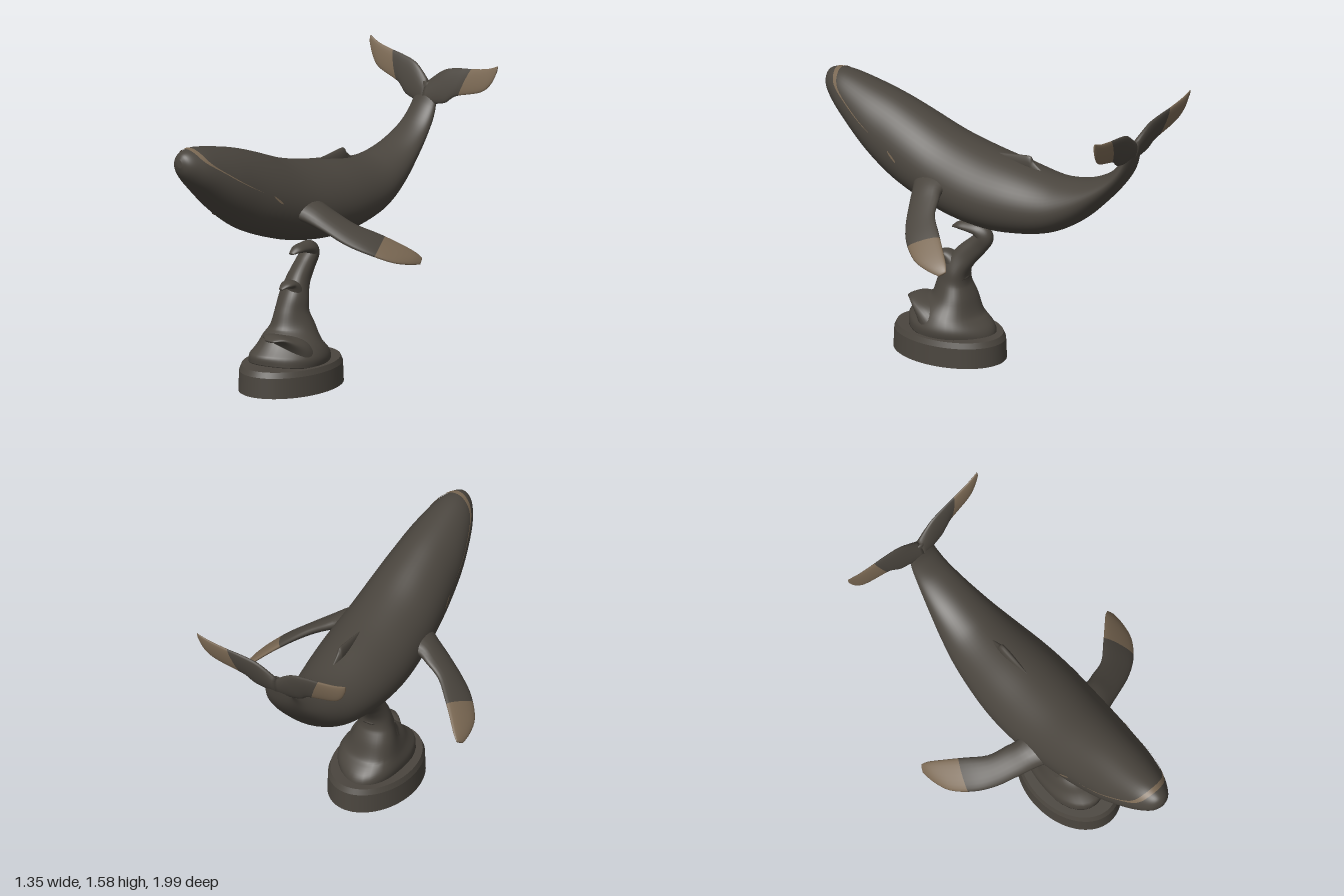
import * as THREE from 'three';

const V = (x, y, z) => new THREE.Vector3(x, y, z);
const dark = new THREE.MeshStandardMaterial({ color: 0x4a453e });
dark.name = 'dark bronze';
const tan = new THREE.MeshStandardMaterial({ color: 0x7a6853, side: THREE.DoubleSide });
tan.name = 'tan marking';

// Smooth interpolation through rows of numbers, t in 0..1
function spline(rows, t) {
  const p = t * (rows.length - 1);
  const i = Math.min(Math.floor(p), rows.length - 2), f = p - i;
  const at = k => rows[Math.max(0, Math.min(rows.length - 1, k))];
  const [a, b, c, d] = [at(i - 1), at(i), at(i + 1), at(i + 2)];
  return b.map((q, k) => q + 0.5 * f * (c[k] - a[k] + f * (2 * a[k] - 5 * q + 4 * c[k] - d[k]
    + f * (3 * (q - c[k]) + d[k] - a[k]))));
}

// Skin closed rings, cap both ends; rings past 'split' use the second material
function loft(rings, split = 1) {
  const m = rings[0].length, n = rings.length;
  const pts = rings.flat(), idx = [];
  const centre = r => r.reduce((s, p) => s.add(p), V(0, 0, 0)).divideScalar(m);
  pts.push(centre(rings[0]), centre(rings[n - 1]));
  for (let j = 0; j < m; j++) idx.push(n * m, (j + 1) % m, j);
  let cut = 0;
  for (let i = 0; i < n - 1; i++) {
    if (i <= split * (n - 1)) cut = idx.length;
    for (let j = 0; j < m; j++) {
      const a = i * m + j, b = i * m + (j + 1) % m;
      idx.push(a, b, a + m, b, b + m, a + m);
    }
  }
  for (let j = 0; j < m; j++) idx.push(n * m + 1, (n - 1) * m + j, (n - 1) * m + (j + 1) % m);
  // turn the faces outward by the sign of the enclosed volume
  let vol = 0;
  for (let i = 0; i < idx.length; i += 3)
    vol += pts[idx[i]].dot(V(0, 0, 0).crossVectors(pts[idx[i + 1]], pts[idx[i + 2]]));
  if (vol < 0) for (let i = 0; i < idx.length; i += 3) [idx[i], idx[i + 1]] = [idx[i + 1], idx[i]];
  const g = new THREE.BufferGeometry().setFromPoints(pts);
  g.setIndex(idx);
  if (split < 1) {
    g.addGroup(0, cut, 0);
    g.addGroup(cut, idx.length - cut, 1);
  }
  g.computeVertexNormals();
  return g;
}

const steps = (n, fn) => Array.from({ length: n + 1 }, (_, i) => fn(i / n));
const around = (m, fn) => Array.from({ length: m }, (_, j) => fn(j / m * Math.PI * 2));

function add(parent, name, geometry, material) {
  const mesh = new THREE.Mesh(geometry, material);
  mesh.name = name;
  parent.add(mesh);
  return mesh;
}

// Body sections: back z, back y, belly z, belly y, half width
const BODY = [
  [.995, 1.385, .995, 1.345, .015], [.975, 1.415, .975, 1.3, .055], [.93, 1.43, .93, 1.245, .09],
  [.85, 1.43, .85, 1.17, .13], [.7, 1.4, .7, 1.035, .175], [.55, 1.362, .55, .925, .2],
  [.4, 1.31, .4, .855, .22], [.2, 1.235, .2, .79, .238], [0, 1.185, 0, .757, .247],
  [-.2, 1.152, -.2, .757, .235], [-.4, 1.12, -.44, .805, .2], [-.52, 1.12, -.62, .905, .165],
  [-.66, 1.15, -.77, 1.045, .128], [-.79, 1.215, -.87, 1.16, .1], [-.87, 1.295, -.925, 1.25, .085],
  [-.905, 1.36, -.95, 1.345, .07], [-.925, 1.42, -.955, 1.41, .03],
];
function bodyPoint(t, a, lift = 0) {
  const [zt, yt, zb, yb, w] = spline(BODY, t);
  const c = V(0, (yt + yb) / 2, (zt + zb) / 2), k = Math.cos(a);
  const out = V(Math.sin(a) * w * (1 - .1 * k), (yt - yb) / 2 * k, (zt - zb) / 2 * k);
  return c.add(out.setLength(out.length() + lift));
}
function bodyT(z) {
  let lo = 0, hi = 1;
  for (let i = 0; i < 30; i++) {
    const mid = (lo + hi) / 2;
    if (spline(BODY, mid)[0] > z) lo = mid; else hi = mid;
  }
  return lo;
}

// Thin painted ribbon on the body; rows are z, angle from the back, half width
function ribbon(rows, n) {
  const pts = steps(n, t => {
    const [z, a, w] = spline(rows, t);
    return [-1, 0, 1].map(k => bodyPoint(bodyT(z + k * w), a, .004));
  }).flat();
  const idx = [];
  for (let i = 0; i < n; i++) for (let j = 0; j < 2; j++) {
    const a = i * 3 + j;
    idx.push(a, a + 1, a + 3, a + 1, a + 4, a + 3);
  }
  const g = new THREE.BufferGeometry().setFromPoints(pts);
  g.setIndex(idx);
  g.computeVertexNormals();
  return g;
}

// Flat fin; rows are leading xyz, trailing xyz, half thickness
function fin(rows, side, normal, split, lift = 0) {
  return loft(steps(28, t => {
    const [ax, ay, az, bx, by, bz, h] = spline(rows, t);
    return around(20, q => {
      const k = (1 + Math.cos(q)) / 2, s = Math.sin(q) * h;
      return V(side * (bx + (ax - bx) * k + normal.x * s),
        by + (ay - by) * k + normal.y * s + lift * t, bz + (az - bz) * k + normal.z * s);
    });
  }), split);
}
const FLIPPER = [
  [.14, 1, .36, .14, 1, .08, .075], [.235, .97, .3, .24, .99, .11, .052],
  [.34, .92, .255, .31, .96, .09, .036], [.46, .85, .2, .4, .915, .055, .028],
  [.56, .8, .13, .49, .865, -.03, .022], [.64, .75, .03, .57, .81, -.11, .017],
  [.67, .725, -.07, .625, .765, -.165, .013], [.675, .712, -.15, .655, .735, -.185, .006],
];
const FLUKE = [
  [0, 1.42, -.945, 0, 1.3, -.915, .03], [.1, 1.495, -.965, .13, 1.325, -.925, .024],
  [.2, 1.52, -.975, .18, 1.36, -.935, .02], [.28, 1.53, -.98, .22, 1.38, -.945, .016],
  [.37, 1.545, -.985, .36, 1.42, -.96, .013], [.42, 1.56, -.99, .42, 1.47, -.975, .01],
  [.455, 1.575, -.994, .452, 1.535, -.986, .005],
];

// Sculpted water: rows are x, y, z, half width, half depth, swept in the yz plane
function water(rows, n, fold) {
  return loft(steps(n, t => {
    const [x, y, z, rx, r] = spline(rows, t);
    const p = spline(rows, Math.max(0, t - .01)), q = spline(rows, Math.min(1, t + .01));
    const d = V(0, q[1] - p[1], q[2] - p[2]).normalize();
    return around(36, a => {
      const k = 1 + fold * Math.sin(3 * a + 9 * y), s = Math.sin(a) * r * k;
      return V(x + Math.cos(a) * rx * k, y - d.z * s, z + d.y * s);
    });
  }));
}

export function createModel() {
  const model = new THREE.Group();
  model.name = 'whaleOnWave';

  const whale = new THREE.Group();
  whale.name = 'whale';
  model.add(whale);
  add(whale, 'body', loft(steps(80, t => around(48, a => bodyPoint(t, a)))), dark);

  // mouth line running over the snout, mirrored
  const half = [[.915, .5, .014], [.895, 1, .015], [.85, 1.26, .017], [.75, 1.41, .018],
    [.65, 1.49, .018], [.56, 1.52, .01]];
  const mirrored = half.map(([z, a, w]) => [z, -a, w]).reverse();
  add(whale, 'mouthLine', ribbon([...mirrored, [.92, 0, .014], ...half], 120), tan);

  for (const [side, label] of [[1, 'left'], [-1, 'right']]) {
    const eye = [[.48, 1.54, .004], [.46, 1.59, .014], [.44, 1.64, .014], [.43, 1.67, .004]];
    add(whale, label + 'Eye', ribbon(eye.map(([z, a, w]) => [z, side * a, w]), 8), tan);
    add(whale, label + 'Flipper',
      fin(FLIPPER, side, V(.5, .85, 0), .62, side < 0 ? .025 : -.005), [dark, tan]);
    add(whale, label + 'Fluke', fin(FLUKE, side, V(0, -.2, .97), .5), [dark, tan]);
  }

  // dorsal fin: z, top y, half width
  const dorsal = [[-.03, 1.165, .004], [-.15, 1.178, .016], [-.24, 1.19, .02], [-.285, 1.192, .018],
    [-.305, 1.165, .016], [-.35, 1.13, .012], [-.39, 1.112, .004]];
  add(whale, 'dorsalFin', loft(steps(30, t => {
    const [z, y, w] = spline(dorsal, t);
    return around(16, a => V(Math.sin(a) * w, y - .05 + .05 * Math.cos(a), z));
  })), dark);

  const stand = new THREE.Group();
  stand.name = 'stand';
  model.add(stand);

  // oval base with a chamfered rim
  const profile = [[0, 0], [1, 0], [1, 0], [.985, .11], [.985, .11], [.94, .14], [.94, .14], [0, .14]];
  const base = new THREE.LatheGeometry(profile.map(p => new THREE.Vector2(...p)), 64);
  base.scale(.232, 1, .325);
  base.translate(.057, 0, .185);
  add(stand, 'base', base, dark);

  // main wave, curling forward under the belly
  add(stand, 'waveColumn', water([
    [.06, .13, .185, .18, .25], [.062, .18, .18, .183, .245], [.06, .24, .175, .16, .185],
    [.045, .31, .165, .125, .13], [.04, .4, .165, .095, .09], [.04, .48, .145, .085, .07],
    [.03, .56, .095, .065, .062], [.02, .63, .03, .055, .055], [.02, .68, -.008, .05, .048],
    [.03, .715, .02, .045, .036], [.04, .725, .08, .04, .027], [.045, .725, .13, .035, .02],
    [.045, .71, .172, .015, .006],
  ], 80, .06), dark);

  // smaller breaking crests
  add(stand, 'frontCrest', water([
    [.085, .16, .2, .16, .12], [.09, .225, .25, .15, .08], [.095, .27, .31, .12, .04],
    [.1, .295, .36, .08, .018], [.1, .29, .405, .03, .006],
  ], 28, 0), dark);
  add(stand, 'middleCrest', water([
    [.05, .42, .14, .07, .06], [.055, .5, .155, .055, .05], [.06, .55, .19, .045, .026],
    [.065, .555, .235, .035, .016], [.065, .54, .275, .012, .005],
  ], 28, 0), dark);
  add(stand, 'sideCrest', water([
    [-.03, .2, .2, .06, .08], [-.03, .3, .19, .04, .055], [-.03, .37, .18, .025, .035],
    [-.04, .41, .19, .01, .012],
  ], 24, 0), dark);

  return model;
}
